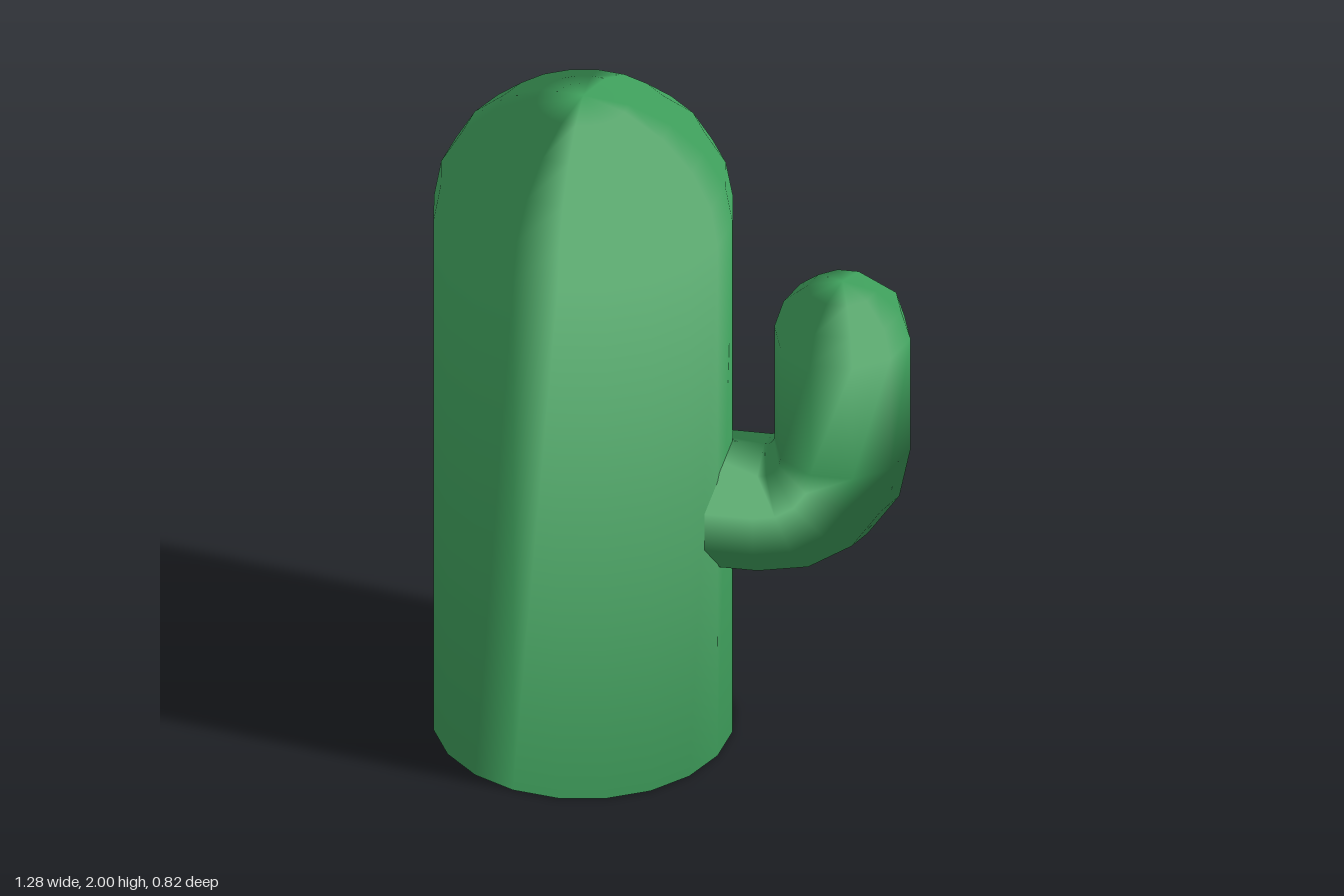
import * as THREE from 'three';

const UP = new THREE.Vector3(0, 1, 0);

// Skin a list of rings {c: centre, t: direction, n: first spoke, r: radius}, closed by a tip point.
function loft(rings, sides, tip) {
  const pos = [], idx = [];
  for (const { c, t, n, r } of rings) {
    const b = t.clone().cross(n);
    for (let j = 0; j < sides; j++) {
      const a = (j / sides) * Math.PI * 2;
      const p = c.clone().addScaledVector(n, r * Math.cos(a)).addScaledVector(b, r * Math.sin(a));
      pos.push(p.x, p.y, p.z);
    }
  }
  pos.push(tip.x, tip.y, tip.z);
  const last = rings.length - 1, tipIndex = rings.length * sides;
  for (let i = 0; i <= last; i++) {
    for (let j = 0; j < sides; j++) {
      const k = (j + 1) % sides;
      const a = i * sides + j, b = i * sides + k;
      if (i === last) idx.push(a, b, tipIndex);
      else idx.push(a, b, b + sides, a, b + sides, a + sides);
    }
  }
  const g = new THREE.BufferGeometry();
  g.setAttribute('position', new THREE.Float32BufferAttribute(pos, 3));
  g.setIndex(idx);
  g.computeVertexNormals();
  // Coarse shading: snap smooth normals to the octant they point into
  const nrm = g.attributes.normal;
  const snap = (v) => (Math.abs(v) < 0.01 ? 0 : Math.sign(v));
  const v = new THREE.Vector3();
  for (let i = 0; i < tipIndex; i++) {
    v.fromBufferAttribute(nrm, i);
    v.set(snap(v.x), snap(v.y), snap(v.z)).normalize();
    nrm.setXYZ(i, v.x, v.y, v.z);
  }
  nrm.setXYZ(tipIndex, 0, 1, 0);
  return g;
}

// Rings of a rounded top, without its tip
function domeRings(base, n, r, h, steps) {
  return Array.from({ length: steps }, (_, i) => {
    const a = (i / steps) * Math.PI / 2;
    return { c: base.clone().addScaledVector(UP, h * Math.sin(a)), t: UP, n, r: r * Math.cos(a) };
  });
}

export function createModel() {
  const model = new THREE.Group();
  model.name = 'cactus';
  const green = new THREE.MeshStandardMaterial({ color: 0x41a45f });
  green.name = 'cactus green';
  const add = (name, geometry) => {
    const m = new THREE.Mesh(geometry, green);
    m.name = name;
    model.add(m);
    return m;
  };

  // Trunk with domed top
  const root = new THREE.Vector3(-0.23, 0, 0);
  const twist = THREE.MathUtils.degToRad(2);
  const spoke = new THREE.Vector3(Math.cos(twist), 0, Math.sin(twist));
  const R = 0.41;
  add('trunk', loft([
    { c: root, t: UP, n: spoke, r: R },
    ...domeRings(new THREE.Vector3(-0.23, 1.635, 0), spoke, R, 0.365, 5),
  ], 20, new THREE.Vector3(-0.23, 2, 0)));

  // Flat underside
  const base = add('trunkBase', new THREE.CircleGeometry(R, 20, twist).rotateX(Math.PI / 2));
  base.position.copy(root);

  // Arm: out from the trunk, bent upward, domed top
  const out = new THREE.Vector3(0.963, 0, -0.27).normalize();
  const at = (s, y) => root.clone().addScaledVector(out, s).setY(y);
  const r = 0.187, bend = 0.215, armY = 0.748, reach = 0.712;
  const armRings = [{ c: at(0.2, armY), t: out, n: UP.clone().negate(), r }];
  for (let i = 0; i <= 4; i++) {
    const a = (i / 4) * Math.PI / 2, sin = Math.sin(a), cos = Math.cos(a);
    armRings.push({
      c: at(reach - bend + bend * sin, armY + bend - bend * cos),
      t: out.clone().multiplyScalar(cos).addScaledVector(UP, sin),
      n: out.clone().multiplyScalar(sin).addScaledVector(UP, -cos),
      r,
    });
  }
  armRings.push(...domeRings(at(reach, 1.317), out, r, 0.165, 3));
  add('arm', loft(armRings, 10, at(reach, 1.482)));

  return model;
}
